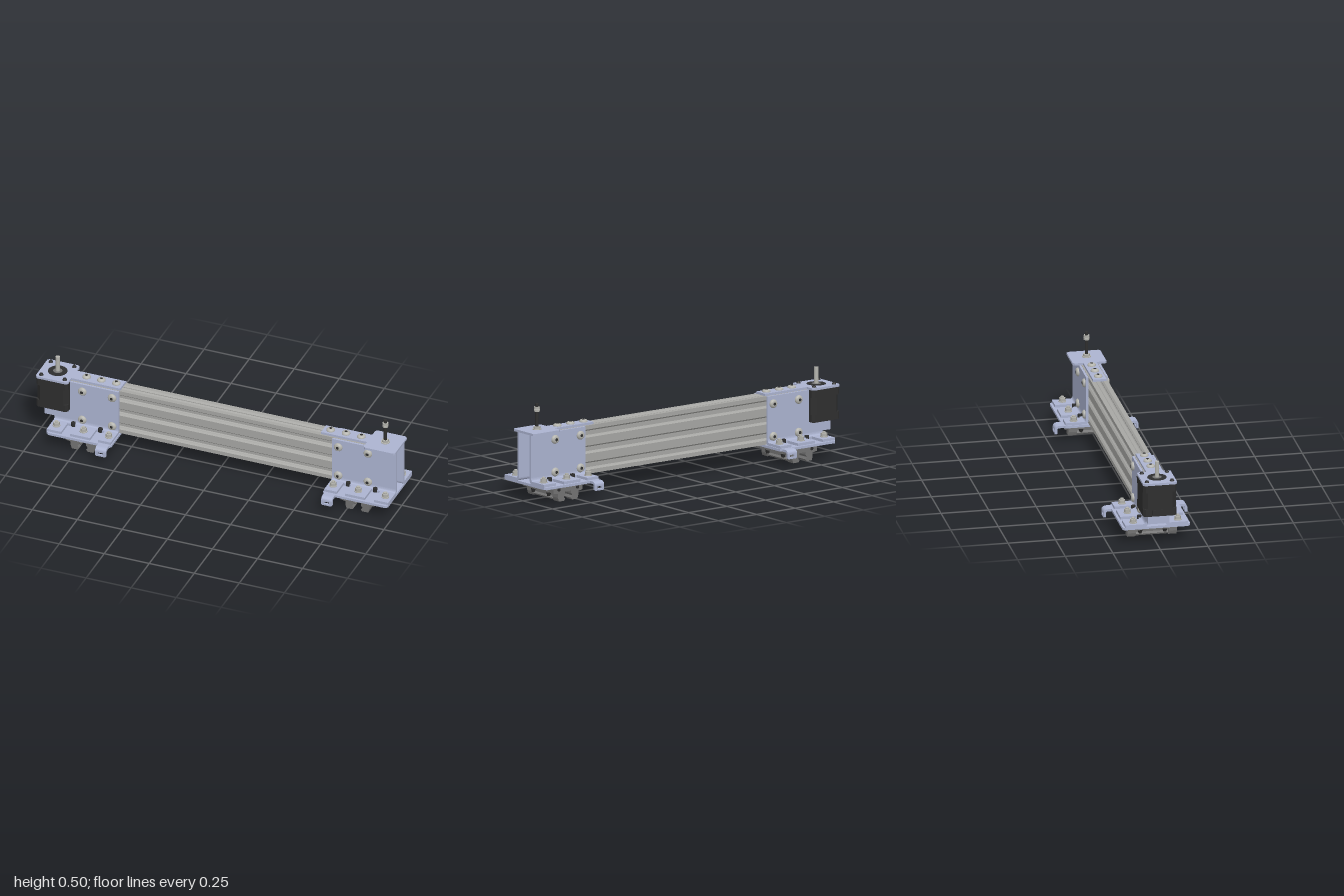
import * as THREE from 'three';

const mat = (name, color, side = THREE.FrontSide) => {
  const m = new THREE.MeshStandardMaterial({ color, side });
  m.name = name;
  return m;
};

export function createModel() {
  const M = {
    plate: mat('bluePaintedSteel', 0xabb3d0),
    rail: mat('aluminium', 0xa6a6a3),
    steel: mat('brightSteel', 0xb4b4ae),
    carriage: mat('carriageGrey', 0x727272),
    black: mat('blackSteel', 0x2e2e2e),
  };
  const root = new THREE.Group();
  root.name = 'beamAssembly';

  const add = (parent, name, geo, m) => {
    const mesh = new THREE.Mesh(geo, m);
    mesh.name = name;
    parent.add(mesh);
    return mesh;
  };
  const poly = (pts) => new THREE.Shape(pts.map((p) => new THREE.Vector2(p[0], p[1])));
  const extrude = (shape, depth) => new THREE.ExtrudeGeometry(shape, { depth, bevelEnabled: false, curveSegments: 10 });
  // box given by its limits
  const box = (parent, name, m, x0, x1, y0, y1, z0, z1) =>
    add(parent, name, new THREE.BoxGeometry(x1 - x0, y1 - y0, z1 - z0)
      .translate((x0 + x1) / 2, (y0 + y1) / 2, (z0 + z1) / 2), m);
  // shape in (-z, y) run along x
  const alongX = (parent, name, m, shape, x0, x1) =>
    add(parent, name, extrude(shape, x1 - x0).rotateY(Math.PI / 2).translate(x0, 0, 0), m);
  // shape in (x, z) run down from y1 to y0
  const alongY = (parent, name, m, shape, y0, y1) =>
    add(parent, name, extrude(shape, y1 - y0).rotateX(Math.PI / 2).translate(0, y1, 0), m);
  const post = (parent, name, m, x, z, y0, y1, r, sides = 20, rTop = r) =>
    add(parent, name, new THREE.CylinderGeometry(rTop, r, y1 - y0, sides).translate(x, (y0 + y1) / 2, z), m);
  const chamfered = (x0, x1, z0, z1, c) => poly([
    [x0 + c, z0], [x1 - c, z0], [x1, z0 + c], [x1, z1 - c],
    [x1 - c, z1], [x0 + c, z1], [x0, z1 - c], [x0, z0 + c]]);
  // domed screw on y = 0, pointing up, with a dark hexagon socket
  const buttonScrew = (parent, name, r, h) => {
    const g = new THREE.Group();
    g.name = name;
    const pts = [[r, 0], [r, h * 0.35], [r * 0.85, h * 0.75], [r * 0.55, h], [0, h]];
    add(g, 'screwHead', new THREE.LatheGeometry(pts.map((p) => new THREE.Vector2(...p)), 20), M.steel);
    post(g, 'hexSocket', M.black, 0, 0, h - 0.002, h + 0.001, r * 0.38, 6);
    parent.add(g);
    return g;
  };

  // ---- slotted beam: three bays high ----
  const W = 0.044, Y0 = 0.1, PITCH = 0.085, H = PITCH * 3;
  const half = [[0.021, 0], [0.013, 0.008], [0.013, 0.012], [0.024, 0.012], [0.024, 0.016], [0.014, 0.026]];
  const slot = [...half.map(([t, d]) => [-t, d]), ...half.slice().reverse()];
  const bays = [0, 1, 2].map((i) => Y0 + PITCH * (i + 0.5));
  const outline = [[-W, Y0], ...slot.map(([t, d]) => [t, Y0 + d]), [W, Y0]];
  bays.forEach((c) => slot.forEach(([t, d]) => outline.push([W - d, c + t])));
  outline.push([W, Y0 + H], ...slot.map(([t, d]) => [-t, Y0 + H - d]), [-W, Y0 + H]);
  bays.slice().reverse().forEach((c) => slot.forEach(([t, d]) => outline.push([-W + d, c - t])));
  const profile = poly(outline);
  bays.forEach((c) => profile.holes.push(new THREE.Path().absarc(0, c, 0.011, 0, Math.PI * 2, true)));
  [1, 2].forEach((i) => {
    const c = Y0 + PITCH * i;
    const hole = [[0.014, 0.023], [0.031, 0.008], [0.031, -0.008], [0.014, -0.023],
      [-0.014, -0.023], [-0.031, -0.008], [-0.031, 0.008], [-0.014, 0.023]];
    profile.holes.push(new THREE.Path(hole.map(([z, y]) => new THREE.Vector2(z, c + y))));
  });
  alongX(root, 'slottedBeam', M.rail, profile, -0.82, 0.86);

  // ---- foot: base plate, angle brackets and carriage, used at both ends ----
  const makeFoot = (name, plateOuter) => {
    const g = new THREE.Group();
    g.name = name;
    alongY(g, 'basePlate', M.plate, chamfered(-0.905, -0.545, -0.178, 0.178, 0.012), 0.085, 0.098);

    for (const s of [1, -1]) {
      // upright bracket wall with a bend at the bottom
      box(g, 'sidePlate', M.plate, plateOuter, -0.55, 0.13, 0.355, s > 0 ? 0.045 : -0.057, s > 0 ? 0.057 : -0.045);
      const bend = new THREE.Shape();
      bend.moveTo(-s * 0.045, 0.13);
      bend.lineTo(-s * 0.045, 0.116);
      bend.quadraticCurveTo(-s * 0.046, 0.098, -s * 0.064, 0.098);
      bend.lineTo(-s * 0.075, 0.098);
      bend.lineTo(-s * 0.075, 0.112);
      bend.lineTo(-s * 0.066, 0.112);
      bend.quadraticCurveTo(-s * 0.058, 0.113, -s * 0.057, 0.13);
      alongX(g, 'bracketBend', M.plate, bend, -0.905, -0.55);

      // three flange fingers, each held by a nut and bolt
      [[-0.905, -0.825, -0.87], [-0.775, -0.665, -0.72], [-0.62, -0.55, -0.58]].forEach(([a, b, x]) => {
        box(g, 'flangeFinger', M.plate, a, b, 0.098, 0.112, s > 0 ? 0.07 : -0.165, s > 0 ? 0.165 : -0.07);
        const z = s * 0.117;
        post(g, 'washer', M.steel, x, z, 0.112, 0.116, 0.02);
        post(g, 'nut', M.steel, x, z, 0.116, 0.133, 0.017, 6);
        post(g, 'boltEnd', M.steel, x, z, 0.133, 0.141, 0.009, 12);
        post(g, 'boltHead', M.steel, x, z, 0.079, 0.085, 0.017, 16);
      });
      // dark carriage screws between the fingers
      [-0.795, -0.645].forEach((x) => post(g, 'carriageScrew', M.black, x, s * 0.07, 0.1, 0.121, 0.012, 14));

      // large screws through the wall into the beam
      for (const x of [-0.75, -0.585]) for (const y of [0.142, 0.314]) {
        const b = buttonScrew(g, 'wallScrew', 0.023, 0.014);
        b.position.set(x, y, s * 0.057);
        b.rotation.x = s * Math.PI / 2;
      }

      // downturned tab with a slot
      const curl = new THREE.Shape();
      curl.moveTo(-s * 0.175, 0.098);
      curl.lineTo(-s * 0.196, 0.098);
      curl.quadraticCurveTo(-s * 0.22, 0.097, -s * 0.22, 0.076);
      curl.lineTo(-s * 0.208, 0.076);
      curl.quadraticCurveTo(-s * 0.208, 0.086, -s * 0.196, 0.085);
      curl.lineTo(-s * 0.175, 0.085);
      alongX(g, 'tabBend', M.plate, curl, -0.615, -0.555);
      const tip = poly([[-0.615, 0.076], [-0.615, 0.056], [-0.609, 0.051], [-0.561, 0.051], [-0.555, 0.056], [-0.555, 0.076]]);
      tip.holes.push(new THREE.Path([[-0.6, 0.06], [-0.57, 0.06], [-0.57, 0.073], [-0.6, 0.073]].map((p) => new THREE.Vector2(...p))));
      add(g, 'tabTip', extrude(tip, 0.012).translate(0, 0, s > 0 ? 0.208 : -0.22), M.plate);
    }

    // rail carriage: inverted channel with a waisted body and two end caps
    const channel = (w, waist, low, cx = -0.72) => {
      const r = [[w, 0.08], [w, 0.048], [waist, 0.042], [waist, 0.022], [0.064, 0.014], [0.06, low],
        [0.026, low], [0.02, 0.012], [0.028, 0.024], [0.02, 0.036], [0.02, 0.05]];
      return poly([...r.map(([x, y]) => [cx + x, y]), ...r.slice().reverse().map(([x, y]) => [cx - x, y])]);
    };
    add(g, 'carriageBody', extrude(channel(0.1, 0.052, 0.006), 0.17).translate(0, 0, -0.085), M.carriage);
    for (const s of [1, -1]) {
      add(g, 'carriageEndCap', extrude(channel(0.094, 0.066, 0.002), 0.045).translate(0, 0, s > 0 ? 0.085 : -0.13), M.carriage);
      for (const t of [1, -1]) {
        post(g, 'carriageBoltTip', M.black, -0.72 + t * 0.076, s * 0.065, 0.024, 0.046, 0.008, 12, 0.014);
        add(g, 'capScrew', new THREE.CylinderGeometry(0.009, 0.009, 0.004, 14).rotateX(Math.PI / 2)
          .translate(-0.72 + t * 0.06, 0.064, s * 0.131), M.black);
      }
    }
    add(g, 'greaseNipple', new THREE.CapsuleGeometry(0.01, 0.03, 4, 12).rotateX(Math.PI / 2)
      .translate(-0.72, 0.067, -0.14 * (plateOuter < -0.9 ? 1 : -1)), M.carriage);
    root.add(g);
    return g;
  };
  makeFoot('motorFoot', -0.82);
  const far = makeFoot('idlerFoot', -0.905);
  far.rotation.y = Math.PI;
  far.position.x = 0.085;

  // ---- motor end ----
  const motor = new THREE.Group();
  motor.name = 'motor';
  root.add(motor);
  [[0.185, 0.225, 0.012], [0.225, 0.315, 0.024], [0.315, 0.355, 0.012]].forEach(([a, b, c]) =>
    alongY(motor, 'motorBody', M.black, chamfered(-0.998, -0.822, -0.088, 0.088, c), a, b));
  box(motor, 'motorConnector', M.black, -1, -0.99, 0.195, 0.22, -0.04, 0.04);
  post(motor, 'motorBoss', M.black, -0.91, 0, 0.355, 0.3685, 0.05, 32);
  post(motor, 'bossRing', M.carriage, -0.91, 0, 0.3685, 0.3695, 0.024, 24);
  post(motor, 'motorShaft', M.steel, -0.91, 0, 0.36, 0.455, 0.011, 20);
  for (const x of [-0.975, -0.845]) for (const z of [-0.066, 0.066])
    post(motor, 'motorScrew', M.black, x, z, 0.367, 0.376, 0.012, 16, 0.008);

  const motorTop = chamfered(-1, -0.82, -0.089, 0.089, 0.01);
  motorTop.holes.push(new THREE.Path().absarc(-0.91, 0, 0.05, 0, Math.PI * 2, true));
  alongY(root, 'motorPlate', M.plate, motorTop, 0.355, 0.367);
  box(root, 'motorTongue', M.plate, -0.82, -0.548, 0.355, 0.367, -0.038, 0.038);
  // low cradle beneath the motor
  for (const z of [-0.051, 0.051]) box(root, 'cradleWall', M.plate, -0.96, -0.82, 0.13, 0.185, z - 0.006, z + 0.006);
  box(root, 'cradleWeb', M.plate, -0.96, -0.948, 0.13, 0.185, -0.045, 0.045);

  // ---- idler end ----
  alongY(root, 'idlerPlate', M.plate, chamfered(0.82, 0.995, -0.089, 0.089, 0.01), 0.355, 0.367);
  box(root, 'idlerTongue', M.plate, 0.565, 0.82, 0.355, 0.367, -0.035, 0.035);
  post(root, 'threadedRod', M.black, 0.908, 0, 0.345, 0.503, 0.0085, 14);
  post(root, 'rodLockNut', M.black, 0.908, 0, 0.336, 0.355, 0.015, 6);
  post(root, 'rodWasher', M.steel, 0.908, 0, 0.367, 0.371, 0.023, 20);
  post(root, 'rodBaseNut', M.steel, 0.908, 0, 0.371, 0.383, 0.018, 6);
  [[0.461, 0.472], [0.474, 0.486]].forEach(([a, b]) => post(root, 'rodTopNut', M.steel, 0.908, 0, a, b, 0.016, 6));

  // screws along both tongues
  [-0.75, -0.668, -0.585, 0.605, 0.69, 0.775].forEach((x) =>
    buttonScrew(root, 'tongueScrew', 0.022, 0.013).position.set(x, 0.367, 0));

  return root;
}
